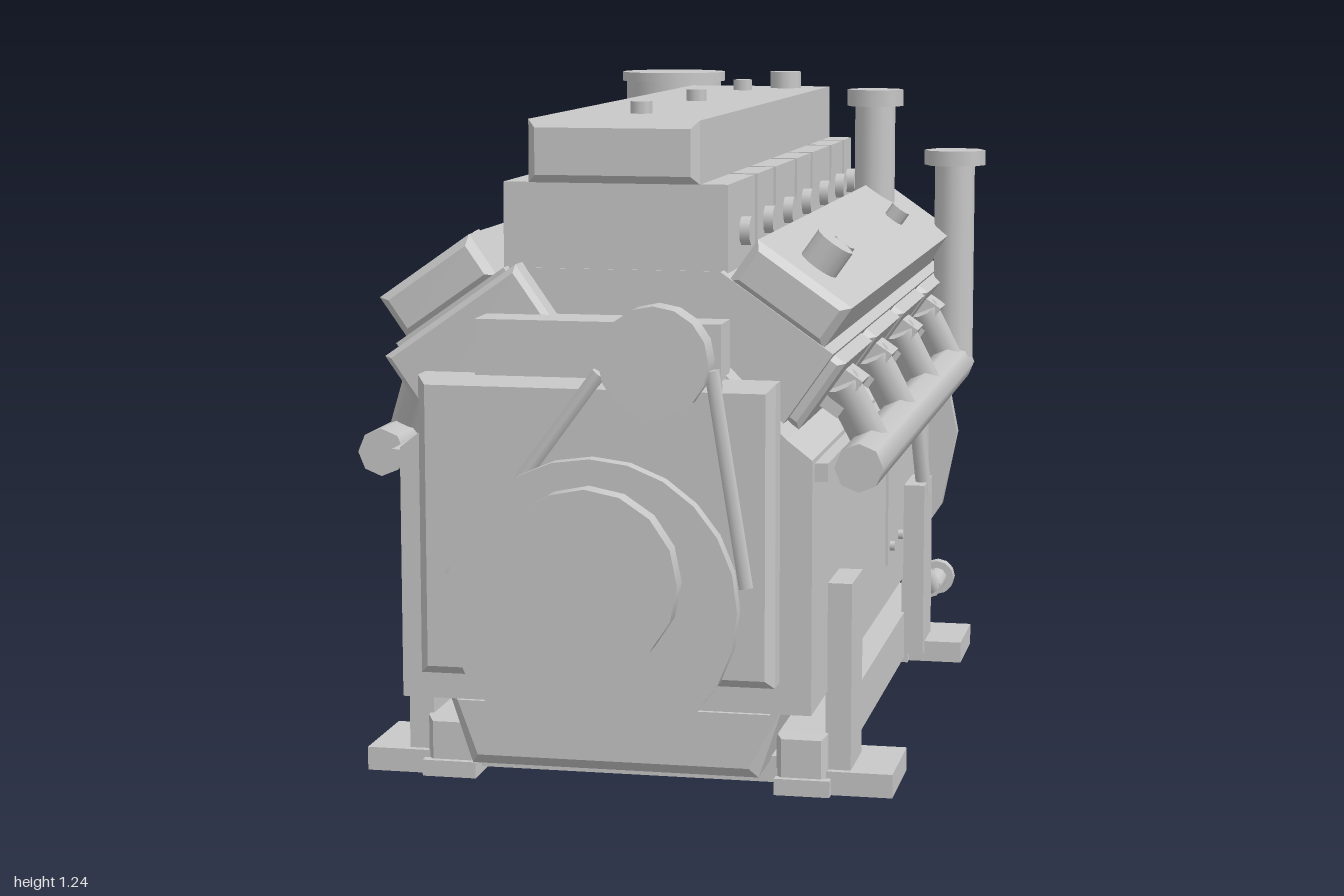
import * as THREE from 'three';
import { toCreasedNormals } from 'three/addons/utils/BufferGeometryUtils.js';

const metal = new THREE.MeshStandardMaterial({ color: 0xc8c8c8 });
metal.name = 'greyMetal';

export function createModel() {
  const root = new THREE.Group();
  root.name = 'vEngine';

  const add = (name, geo, x = 0, y = 0, z = 0, parent = root) => {
    const m = new THREE.Mesh(geo, metal);
    m.name = name;
    m.position.set(x, y, z);
    parent.add(m);
    return m;
  };
  // Box from its min and max corners
  const box = (name, x0, x1, y0, y1, z0, z1, parent = root) =>
    add(name, new THREE.BoxGeometry(x1 - x0, y1 - y0, z1 - z0), (x0 + x1) / 2, (y0 + y1) / 2, (z0 + z1) / 2, parent);
  // Closed outline extruded from z0 to z1, with optional chamfer
  const prism = (name, pts, z0, z1, b = 0, parent = root) => {
    const shape = new THREE.Shape(pts.map(p => new THREE.Vector2(p[0], p[1])));
    const g = new THREE.ExtrudeGeometry(shape, {
      depth: z1 - z0 - 2 * b, bevelEnabled: b > 0, bevelSize: b, bevelOffset: -b, bevelThickness: b, bevelSegments: 1,
    });
    g.translate(0, 0, z0 + b);
    return add(name, g, 0, 0, 0, parent);
  };
  const bevelBox = (name, x0, x1, y0, y1, z0, z1, b, parent) =>
    prism(name, [[x0, y0], [x1, y0], [x1, y1], [x0, y1]], z0, z1, b, parent);
  // Upright cylinder from y0 to y1
  const post = (name, r, x, y0, y1, z, n = 16, parent = root) =>
    add(name, new THREE.CylinderGeometry(r, r, y1 - y0, n), x, (y0 + y1) / 2, z, parent);
  // Round bar between two points
  const rod = (name, a, b, r, n = 10, r2 = r) => {
    const p = new THREE.Vector3(...a), q = new THREE.Vector3(...b);
    const d = q.clone().sub(p);
    const m = add(name, new THREE.CylinderGeometry(r2, r, d.length(), n));
    m.position.copy(p).lerp(q, 0.5);
    m.quaternion.setFromUnitVectors(new THREE.Vector3(0, 1, 0), d.normalize());
    return m;
  };
  const disc = (name, r, x, y, z0, z1, n = 20) => rod(name, [x, y, z0], [x, y, z1], r, n);

  // Crankcase
  prism('engineBlock', [[-0.365, 0.185], [0.365, 0.185], [0.365, 0.63], [0.32, 0.665], [0.13, 0.86],
    [-0.13, 0.86], [-0.32, 0.665], [-0.365, 0.63]], -0.745, 0.855);
  bevelBox('timingCover', -0.312, 0.312, 0.245, 0.768, 0.855, 0.93, 0.015);
  box('pulleyBracket', -0.215, 0.215, 0.73, 0.865, 0.82, 0.9);
  box('valleyCore', -0.2, 0.2, 0.75, 0.94, -0.69, 0.76);

  // Oil pan
  prism('oilPan', [[-0.26, 0.05], [0.26, 0.05], [0.305, 0.185], [-0.305, 0.185]], -0.64, 0.8, 0.02);
  for (const x of [-0.1, 0.1]) post('drainPlug', 0.022, x, 0.035, 0.052, -0.3, 10);
  box('panRib', -0.27, 0.27, 0.04, 0.055, 0.1, 0.14);

  // Crank pulley, upper pulley and belt
  disc('crankPulley', 0.255, 0, 0.383, 0.9, 0.96, 24);
  disc('crankHub', 0.16, 0, 0.433, 0.955, 1.0, 16);
  disc('upperPulley', 0.095, 0.11, 0.805, 0.9, 0.957, 16);
  rod('beltLeft', [0.265, 0.42, 0.925], [0.205, 0.79, 0.925], 0.014, 6);
  rod('beltRight', [-0.255, 0.42, 0.925], [0.01, 0.78, 0.925], 0.014, 6);

  // Flywheel housing, turned about the crank axis
  const profile = [[0, -0.745], [0.428, -0.745], [0.428, -0.777], [0.408, -0.78], [0.398, -0.815], [0.373, -0.855],
    [0.34, -0.89], [0.295, -0.925], [0.155, -0.93], [0.155, -0.967], [0.105, -0.97], [0.105, -1.0], [0, -1.0]];
  const bell = new THREE.LatheGeometry(profile.map(p => new THREE.Vector2(p[0], -p[1])), 16);
  bell.rotateX(-Math.PI / 2);
  add('flywheelHousing', toCreasedNormals(bell, 0.5), 0, 0.432, 0);
  for (let i = 0; i < 8; i++) {
    const a = (i + 0.5) * Math.PI / 4;
    disc('housingBolt', 0.012, Math.cos(a) * 0.407, 0.432 + Math.sin(a) * 0.407, -0.77, -0.795, 6);
  }
  const fin = prism('housingFin', [[-0.78, 0.2], [-0.88, 0.2], [-0.88, 0.26], [-0.85, 0.305], [-0.8, 0.26]], -0.035, 0.035);
  fin.rotation.y = -Math.PI / 2;
  fin.position.x = 0.235;

  // Intake plenum along the valley
  bevelBox('plenumCover', -0.152, 0.152, 1.09, 1.2, -0.665, 0.78, 0.014);
  const cuts = [-0.665, -0.54, -0.365, -0.125, 0.065, 0.3, 0.49, 0.77];
  for (let i = 0; i < cuts.length - 1; i++) {
    const z0 = cuts[i] + 0.012, z1 = cuts[i + 1] - 0.012;
    box('intakeRunner', -0.2, 0.2, 0.9, 1.09, z0, z1);
    for (const s of [-1, 1])
      rod('runnerPlug', [s * 0.19, 1.0, (z0 + z1) / 2], [s * 0.218, 1.0, (z0 + z1) / 2], 0.026, 10);
  }
  for (const z of [-0.44, 0.05, 0.545]) post('plenumBolt', 0.02, 0, 1.195, 1.222, z, 8);
  post('plenumCap', 0.033, 0.07, 1.195, 1.235, -0.565, 12);

  for (const s of [-1, 1]) {
    const side = s > 0 ? 'left' : 'right';
    const shift = s > 0 ? 0 : 0.06;

    // Tilted cylinder bank
    const bank = new THREE.Group();
    bank.name = side + 'Bank';
    bank.position.set(s * 0.245, 0.808, 0);
    bank.rotation.z = -s * THREE.MathUtils.degToRad(35);
    root.add(bank);
    box('bankBase', -0.12, 0.12, -0.09, 0.08, -0.735, 0.79, bank);
    bevelBox('valveCover', -0.1, 0.1, 0.075, 0.163, -0.715, 0.795, 0.014, bank);
    for (const z of [-0.33, 0.43]) post('coverBolt', 0.021, 0, 0.16, 0.19, z, 8, bank);
    if (s > 0) post('oilFiller', 0.037, 0, 0.16, 0.215, 0.635, 12, bank);

    for (let i = 0; i < 4; i++) {
      const z = 0.587 - i * 0.379 + shift;
      bevelBox('cylinderHead', -0.145, 0.145, -0.0715, 0.0715, z - 0.168, z + 0.168, 0.01, bank);
      // Exhaust port and its branch
      const port = box('exhaustPort', -0.03, 0.03, -0.04, 0.04, -0.045, 0.045);
      port.position.set(s * 0.37, 0.72, z);
      port.rotation.z = -s * 0.6;
      rod('exhaustBranch', [s * 0.375, 0.735, z + 0.03], [s * 0.428, 0.61, z - 0.03], 0.034, 10);
    }

    // Exhaust manifold and stack
    disc('exhaustManifold', 0.043, s * 0.43, 0.603, -0.67, 0.757, 8);
    post('exhaustStack', 0.043, s * 0.43, 0.62, 1.04, -0.63, 12);
    post('exhaustCap', 0.066, s * 0.43, 1.035, 1.067, -0.63, 8);

    // Side strip and mounting frame
    box('sideStrip', s > 0 ? 0.36 : -0.388, s > 0 ? 0.388 : -0.36, 0.59, 0.622, -0.71, 0.83);
    const rail = s * 0.322;
    bevelBox('baseRail', rail - 0.046, rail + 0.046, 0.012, 0.11, -0.645, 0.7, 0.01);
    for (const z of [0.612, -0.402]) {
      const a = z > 0 ? 0.45 : -0.6, b = z > 0 ? 0.712 : -0.345;
      const foot = box('foot', -0.105, 0.105, 0, 0.043, a + 0.05, b - 0.02);
      foot.position.x = s * 0.38;
      const pad = box('footPad', -0.05, 0.05, 0, 0.03, a, b);
      pad.position.x = s * 0.325;
      const arm = box('mountUpright', -0.023, 0.023, 0.02, 0.382, z - 0.066, z + 0.066);
      arm.position.x = s * 0.385;
    }
  }
  for (const z of [0.6, -0.45]) box('crossBeam', -0.29, 0.29, 0.012, 0.06, z - 0.07, z + 0.07);

  // Side access panel with bolts, dipstick and drain pipe
  box('accessPanel', 0.364, 0.37, 0.265, 0.56, -0.255, -0.06);
  for (const z of [-0.095, -0.218]) for (const y of [0.3, 0.52])
    rod('panelBolt', [0.365, y, z], [0.38, y, z], 0.01, 8);
  rod('dipstick', [0.375, 0.68, -0.325], [0.4, 0.36, -0.395], 0.016, 8);
  rod('drainElbow', [0.35, 0.225, -0.46], [0.4, 0.125, -0.54], 0.022);
  disc('drainPipe', 0.022, 0.4, 0.125, -0.53, -0.64, 10);
  disc('drainFlange', 0.037, 0.4, 0.125, -0.635, -0.663, 12);

  // Breather stack and air filter
  post('breatherStack', 0.043, 0.27, 0.92, 1.17, -0.53, 12);
  post('breatherCap', 0.06, 0.27, 1.165, 1.2, -0.53, 8);
  post('filterCan', 0.106, -0.222, 1.035, 1.21, -0.785, 20);
  post('filterLid', 0.115, -0.222, 1.205, 1.225, -0.785, 20);
  post('filterNeck', 0.045, -0.268, 0.875, 1.04, -0.785, 12);
  rod('filterElbow', [-0.268, 0.9, -0.785], [-0.268, 0.86, -0.68], 0.045, 12);

  return root;
}
